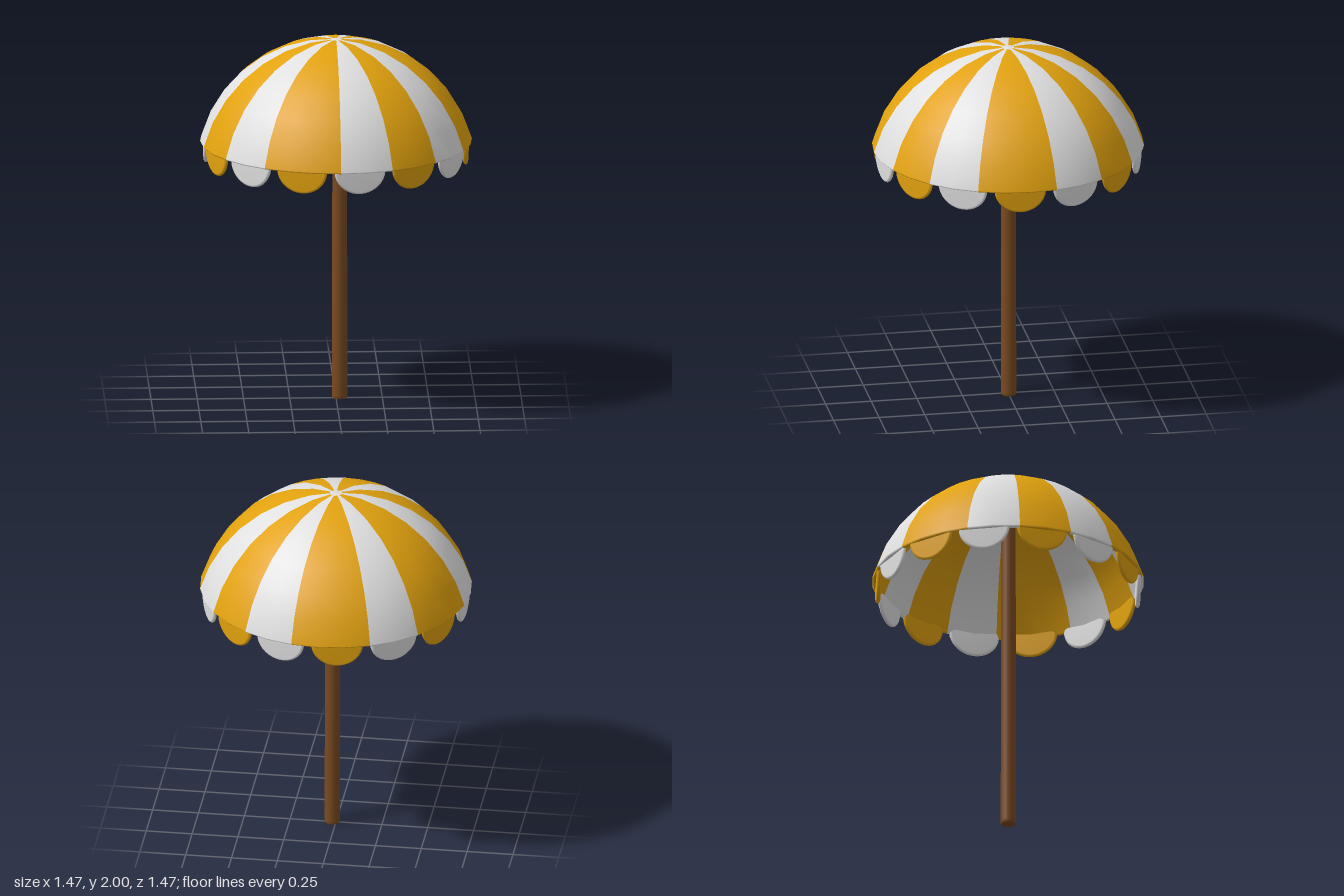
import * as THREE from 'three';

const material = (name, color) => {
  const m = new THREE.MeshStandardMaterial({ color });
  m.name = name;
  return m;
};

export function createModel() {
  const orange = material('orange cloth', 0xe2a20e);
  const white = material('white cloth', 0xe0e0e0);
  const brown = material('brown wood', 0x7a4a20);
  const model = new THREE.Group();
  model.name = 'parasol';
  const add = (parent, name, geometry, mat) => {
    const mesh = new THREE.Mesh(geometry, mat);
    mesh.name = name;
    parent.add(mesh);
    return mesh;
  };

  // Pole, slightly off centre, with softened ends
  const poleProfile = [[0, 0], [0.037, 0], [0.042, 0.005], [0.042, 0.02], [0.042, 0.03], [0.039, 1.96], [0, 1.96]]
    .map(([r, y]) => new THREE.Vector2(r, y));
  add(model, 'pole', new THREE.LatheGeometry(poleProfile, 20), brown).position.x = 0.02;

  // Canopy profile: inner spherical arc, rounded rim, outer arc
  const R = 0.762, centreY = 1.238, thickness = 0.028, rings = 7, endAngle = 1.304;
  const arc = (radius, i) => {
    const a = endAngle * i / rings;
    return new THREE.Vector2(radius * Math.sin(a), centreY + radius * Math.cos(a));
  };
  const profile = [];
  for (let i = 0; i <= rings; i++) profile.push(arc(R - thickness, i));
  profile.push(new THREE.Vector2(0.713, 1.428), new THREE.Vector2(0.728, 1.43));
  for (let i = rings; i >= 0; i--) profile.push(arc(R, i));

  // Stripes alternate white and orange, each two or three of 32 segments wide
  const canopy = new THREE.Group();
  canopy.name = 'canopy';
  model.add(canopy);
  const step = Math.PI / 16;
  let start = 0;
  [2, 2, 2, 3, 2, 2, 2, 3, 2, 3, 2, 2, 2, 3].forEach((width, i) => {
    const geometry = new THREE.LatheGeometry(profile, width, start * step, width * step);
    add(canopy, i % 2 ? 'orangeStripe' : 'whiteStripe', geometry, i % 2 ? orange : white);
    start += width;
  });
  const cap = [[0.033, 1.9975], [0, 2.0015]].map(([r, y]) => new THREE.Vector2(r, y));
  add(canopy, 'crown', new THREE.LatheGeometry(cap, 16), white);

  // Scalloped fringe: rounded half discs hanging below the rim
  const fringe = new THREE.Group();
  fringe.name = 'fringe';
  model.add(fringe);
  const discProfile = [[0, -0.012], [0.9, -0.012], [0.97, -0.008], [1, 0], [0.97, 0.008], [0.9, 0.012], [0, 0.012]]
    .map(([r, y]) => new THREE.Vector2(r, y));
  const flap = new THREE.LatheGeometry(discProfile, 20, -Math.PI / 2 - 0.1, Math.PI + 0.2);
  flap.rotateX(Math.PI / 2).scale(0.14, 0.13, 1);
  for (let i = 0; i < 14; i++) {
    const angle = 0.148 + i * Math.PI / 7;
    const mesh = add(fringe, 'scallop', flap, i % 2 ? orange : white);
    mesh.position.set(0.702 * Math.sin(angle), 1.44, 0.702 * Math.cos(angle));
    mesh.rotation.y = angle;
  }
  return model;
}
